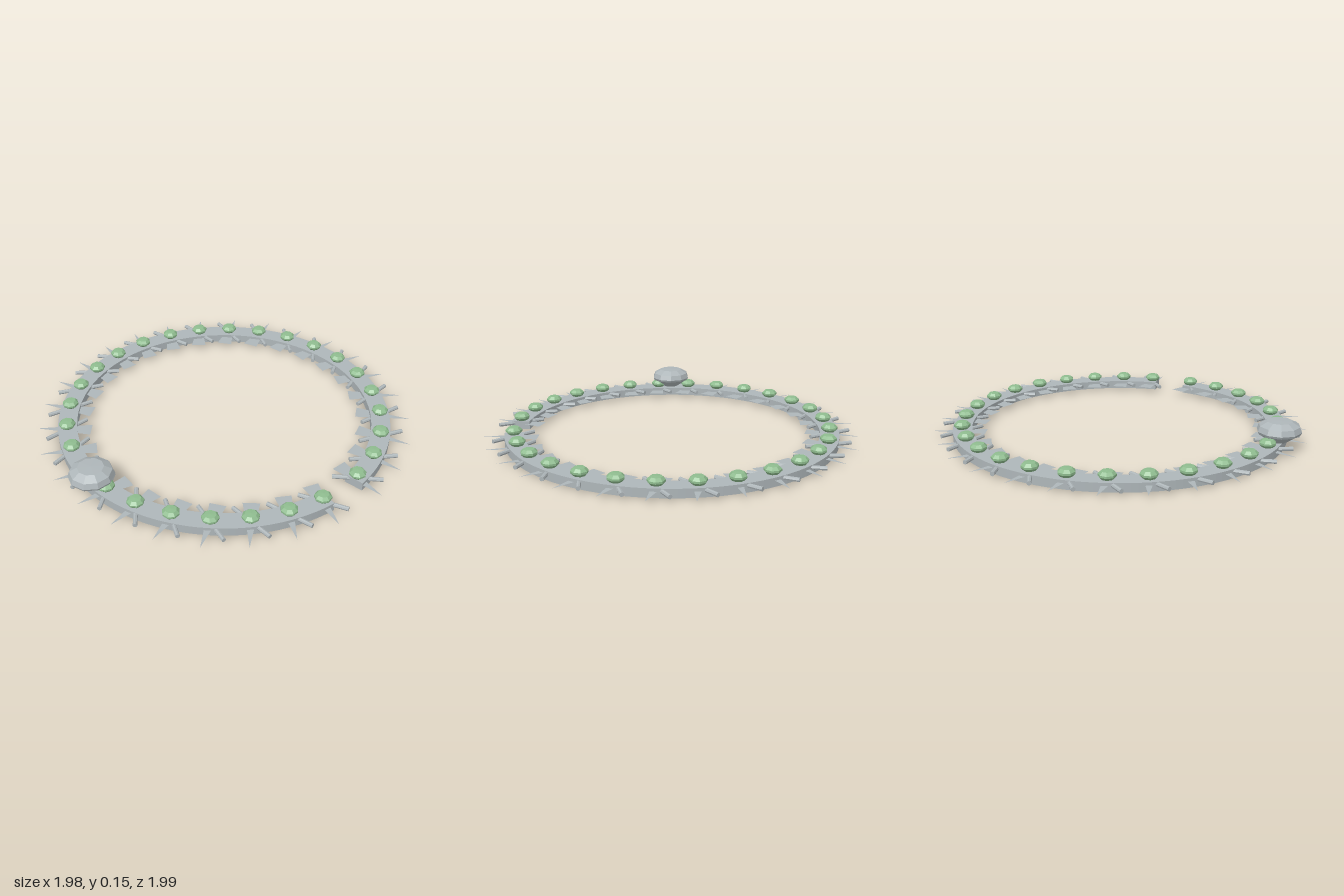
import * as THREE from 'three';

const COUNT = 28;          // beads round the open band
const RADIUS = 0.838;      // bead circle
const GAP = 0.15;          // angle from +x to the first bead

function flat(geometry) {
  const g = geometry.index ? geometry.toNonIndexed() : geometry;
  g.computeVertexNormals();
  return g;
}

function lathe(points, sides) {
  return flat(new THREE.LatheGeometry(points.map(p => new THREE.Vector2(...p)), sides));
}

export function createModel() {
  const metal = new THREE.MeshStandardMaterial({ color: 0xaeb6b9, flatShading: true });
  metal.name = 'silver grey';
  const plate = new THREE.MeshStandardMaterial({ color: 0xaeb6b9, side: THREE.DoubleSide });
  plate.name = 'silver grey plate';
  const green = new THREE.MeshStandardMaterial({ color: 0x8fbc8f, flatShading: true });
  green.name = 'pale green';

  const model = new THREE.Group();
  model.name = 'thornRing';
  const add = (parent, name, geometry, material) => {
    const mesh = new THREE.Mesh(geometry, material);
    mesh.name = name;
    parent.add(mesh);
    return mesh;
  };

  // Open flat band with a gap on the +x side
  const a0 = 0.115, a1 = Math.PI * 2 - a0;
  const arc = new THREE.Shape();
  arc.absarc(0, 0, 0.888, a0, a1, false);
  arc.absarc(0, 0, 0.788, a1, a0, true);
  const bandGeo = new THREE.ExtrudeGeometry(arc, { depth: 0.045, bevelEnabled: false, curveSegments: 80 });
  bandGeo.rotateX(Math.PI / 2).translate(0, 0.045, 0);
  add(model, 'band', bandGeo, metal);

  // Shared shapes for each decorated station
  const beadGeo = lathe([[0, 0.044], [0.03, 0.046], [0.043, 0.06], [0.043, 0.07], [0.029, 0.084], [0, 0.086]], 8);
  const rodGeo = new THREE.CylinderGeometry(0.011, 0.011, 0.25, 8).rotateZ(Math.PI / 2).translate(0.003, 0.032, 0);
  const thorn = new THREE.Shape([
    new THREE.Vector2(-0.125, -0.042), new THREE.Vector2(0.162, 0), new THREE.Vector2(-0.125, 0.042)]);
  const thornGeo = new THREE.ShapeGeometry(thorn).rotateX(-Math.PI / 2).translate(0, 0.03, 0);

  // Beads, crossing rods and tapered thorns round the band
  for (let i = 0; i < COUNT; i++) {
    const a = GAP + (i / (COUNT - 1)) * (Math.PI * 2 - 2 * GAP);
    const station = new THREE.Group();
    station.name = 'station' + (i + 1);
    station.position.set(Math.cos(a) * RADIUS, 0, Math.sin(a) * RADIUS);
    station.rotation.y = -a;
    add(station, 'bead', beadGeo, green);
    add(station, 'rod', rodGeo, metal).rotation.y = 0.58;
    add(station, 'thorn', thornGeo, plate).rotation.y = -0.2;
    model.add(station);
  }

  // Large faceted stone at the front
  const stoneGeo = lathe([[0, 0.015], [0.108, 0.088], [0.114, 0.1], [0.104, 0.128], [0.065, 0.15], [0, 0.152]], 10);
  add(model, 'stone', stoneGeo, metal).position.z = 0.862;

  model.position.z = -0.005;
  const root = new THREE.Group();
  root.add(model);
  return root;
}
